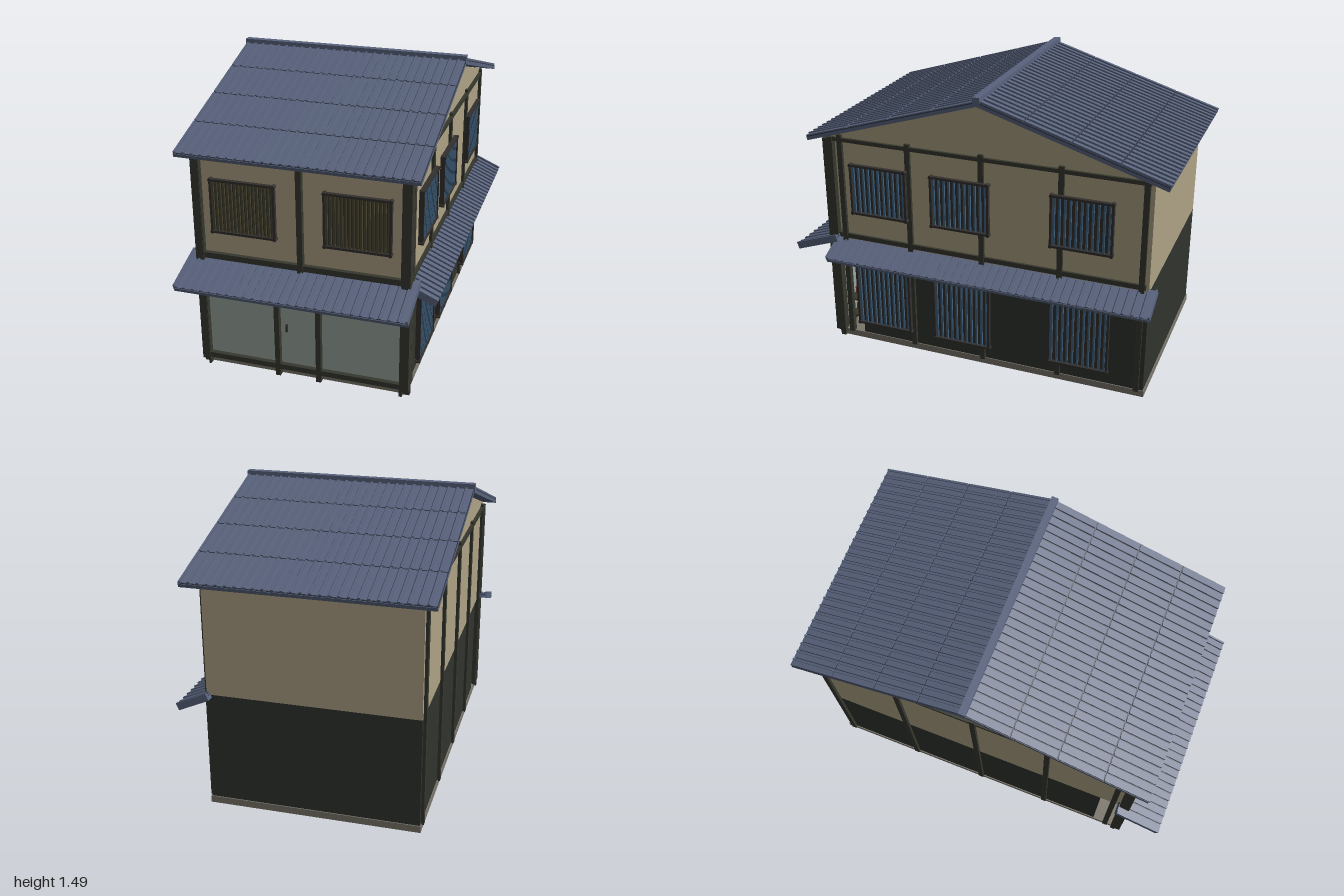
import * as THREE from 'three';

const COLORS = {
  cream: 0xaea285, dark: 0x2f332d, timber: 0x36382e, roof: 0x59637d, seam: 0x2e3342,
  glass: 0x96a39c, blue: 0x40617f, slab: 0x7a766b, lattice: 0x47422f, frame: 0x33302e, red: 0x9a3a34, band: 0xa8a5a0,
};
const mats = {};
for (const k in COLORS) mats[k] = new THREE.MeshStandardMaterial({ color: COLORS[k], flatShading: true });

// Box given by its min and max on each axis
function box(parent, name, mat, [x0, x1], [y0, y1], [z0, z1]) {
  const m = new THREE.Mesh(new THREE.BoxGeometry(x1 - x0, y1 - y0, z1 - z0), mats[mat]);
  m.position.set((x0 + x1) / 2, (y0 + y1) / 2, (z0 + z1) / 2);
  m.name = name;
  parent.add(m);
  return m;
}

function group(parent, name) {
  const g = new THREE.Group();
  g.name = name;
  parent.add(g);
  return g;
}

// Sloping tiled plane: top edge at local origin, running down along +z
function tiledSlope(parent, name, width, length, rows, columns) {
  const g = group(parent, name);
  g.rotation.order = 'YXZ';
  const h = width / 2, pitch = width / columns, row = length / rows;
  box(g, 'roofBoard', 'roof', [-h, h], [-0.022, -0.004], [0, length]);
  box(g, 'tileBed', 'seam', [-h, h], [-0.004, 0], [0, length - 0.003]);
  for (let r = 0; r < rows; r++) {
    for (let c = 0; c < columns; c++) {
      const x = -h + c * pitch;
      const z = [r * row, (r + 1) * row - (r < rows - 1 ? 0.007 : 0)];
      box(g, 'tile', 'roof', [x + 0.003, x + pitch - 0.003], [0, 0.005], z);
      box(g, 'tileRib', 'roof', [x + 0.003, x + 0.014], [0.005, 0.011], z);
    }
  }
  return g;
}

// Barred window facing +z, centred on its own origin
function barredWindow(parent, name, w, h, bars, back, barMat) {
  const g = group(parent, name);
  const x = w / 2, y = h / 2, t = 0.006;
  box(g, 'pane', back, [-x, x], [-y, y], [0, 0.008]);
  for (let i = 0; i < bars; i++) {
    const c = -x + (w * (i + 0.5)) / bars;
    box(g, 'bar', barMat, [c - 0.005, c + 0.005], [-y, y], [0.01, 0.02]);
  }
  for (const s of [-1, 1]) {
    box(g, 'rail', 'frame', [-x, x], [s * y - t, s * y + t], [0.006, 0.026]);
    box(g, 'stile', 'frame', [s * x - t, s * x + t], [-y, y], [0.006, 0.026]);
    for (const u of [-1, 1]) {
      const knob = new THREE.Mesh(new THREE.CylinderGeometry(0.01, 0.01, 0.026, 8), mats.frame);
      knob.rotation.x = Math.PI / 2;
      knob.position.set(s * x, u * y, 0.015);
      knob.name = 'cornerPeg';
      g.add(knob);
    }
  }
  return g;
}

export function createModel() {
  const house = new THREE.Group();
  house.name = 'townhouse';

  // Base and main walls
  box(house, 'foundation', 'slab', [-0.565, 0.495], [0, 0.035], [-0.92, 0.78]);
  box(house, 'lowerWalls', 'dark', [-0.56, 0.49], [0.035, 0.59], [-0.915, 0.65]);
  box(house, 'upperWalls', 'cream', [-0.56, 0.49], [0.59, 1.165], [-0.915, 0.745]);
  box(house, 'frontUpperWall', 'cream', [-0.55, 0.48], [0.55, 1.155], [0.745, 0.785]);

  // Gable block that fills the space under the roof
  const gable = new THREE.Shape();
  gable.moveTo(-0.80, 1.16);
  gable.lineTo(0.915, 1.16);
  gable.lineTo(0.915, 1.172);
  gable.lineTo(0.06, 1.437);
  gable.lineTo(-0.80, 1.172);
  const gableMesh = new THREE.Mesh(
    new THREE.ExtrudeGeometry(gable, { depth: 1.05, bevelEnabled: false }), mats.cream);
  gableMesh.rotation.y = Math.PI / 2;
  gableMesh.position.x = -0.56;
  gableMesh.name = 'gable';
  house.add(gableMesh);

  // Timber frame on both sides
  const sides = group(house, 'sideTimbers');
  for (const x of [[-0.575, -0.548], [0.478, 0.505]]) {
    for (const z of [0.722, 0.34, -0.055, -0.467, -0.88])
      box(sides, 'sidePost', 'timber', x, [0.03, 1.18], [z - 0.014, z + 0.014]);
    box(sides, 'topBeam', 'timber', x, [1.145, 1.165], [-0.9, 0.78]);
  }
  box(sides, 'middleBeam', 'timber', [0.478, 0.503], [0.605, 0.63], [-0.9, 0.78]);

  // Front timber frame
  const front = group(house, 'frontTimbers');
  for (const x of [-0.555, 0.49]) {
    box(front, 'cornerPost', 'timber', [x - 0.02, x + 0.02], [0, 1.165], [0.76, 0.788]);
    box(front, 'frontPost', 'timber', [x - 0.02, x + 0.02], [0.03, 1.155], [0.788, 0.815]);
  }
  box(front, 'innerPost', 'timber', [0.463, 0.478], [0, 1.155], [0.765, 0.812]);
  box(front, 'innerPost', 'timber', [-0.543, -0.533], [0, 1.155], [0.765, 0.812]);
  box(front, 'upperPost', 'timber', [-0.048, -0.02], [0.6, 1.155], [0.78, 0.812]);
  box(front, 'upperBeam', 'timber', [-0.56, 0.49], [0.61, 0.64], [0.78, 0.808]);
  for (const x of [-0.165, 0.05])
    box(front, 'shopPost', 'timber', [x - 0.013, x + 0.013], [0, 0.56], [0.765, 0.812]);
  box(front, 'sill', 'timber', [-0.555, 0.49], [0.037, 0.065], [0.765, 0.808]);

  // Shop front with door handle and display shelves
  const shop = group(house, 'shopFront');
  box(shop, 'glazing', 'glass', [-0.545, 0.475], [0.05, 0.56], [0.776, 0.784]);
  box(shop, 'glassBand', 'band', [0.065, 0.465], [0.432, 0.465], [0.784, 0.787]);
  box(shop, 'doorHandle', 'frame', [-0.124, -0.115], [0.25, 0.29], [0.784, 0.796]);
  for (const y of [0.1, 0.2]) {
    box(shop, 'shelf', 'timber', [0.08, 0.45], [y - 0.004, y + 0.004], [0.67, 0.76]);
    for (const x of [0.14, 0.26, 0.38])
      box(shop, 'shelfItem', 'red', [x - 0.012, x + 0.012], [y + 0.004, y + 0.045], [0.73, 0.75]);
  }

  // Windows: two on the front, three pairs on the right wall
  for (const x of [-0.32, 0.25])
    barredWindow(house, 'frontWindow', 0.32, 0.27, 17, 'dark', 'lattice').position.set(x, 0.895, 0.786);
  for (const z of [0.502, 0.053, -0.578]) {
    for (const [y, h] of [[0.9, 0.265], [0.308, 0.385]]) {
      const w = barredWindow(house, 'sideWindow', 0.305, h, 11, 'frame', 'blue');
      w.rotation.y = Math.PI / 2;
      w.position.set(0.503, y, z);
    }
  }

  // Main roof: two tiled slopes and a ridge
  const roof = group(house, 'mainRoof');
  for (const [name, turn] of [['frontSlope', 0], ['backSlope', Math.PI]]) {
    const s = tiledSlope(roof, name, 1.19, 0.981, 4, 27);
    s.rotation.set(0.3, turn, 0);
    s.position.set(-0.033, 1.464, -0.062);
  }
  box(roof, 'ridge', 'roof', [-0.632, 0.564], [1.445, 1.487], [-0.08, -0.044]);

  // Small roofs between the floors
  const frontCanopy = tiledSlope(house, 'frontCanopy', 1.15, 0.258, 1, 26);
  frontCanopy.rotation.set(0.34, 0, 0);
  frontCanopy.position.set(-0.035, 0.615, 0.755);
  const sideCanopy = tiledSlope(house, 'sideCanopy', 1.72, 0.172, 1, 39);
  sideCanopy.rotation.set(0.42, Math.PI / 2, 0);
  sideCanopy.position.set(0.473, 0.597, -0.09);
  for (const [g, w, l] of [[frontCanopy, 0.575, 0.256], [sideCanopy, 0.86, 0.17]])
    for (const s of [-1, 1])
      box(g, 'vergeTile', 'roof', [s * w - 0.005, s * w + 0.005], [-0.022, 0.016], [0, l]);

  return house;
}
